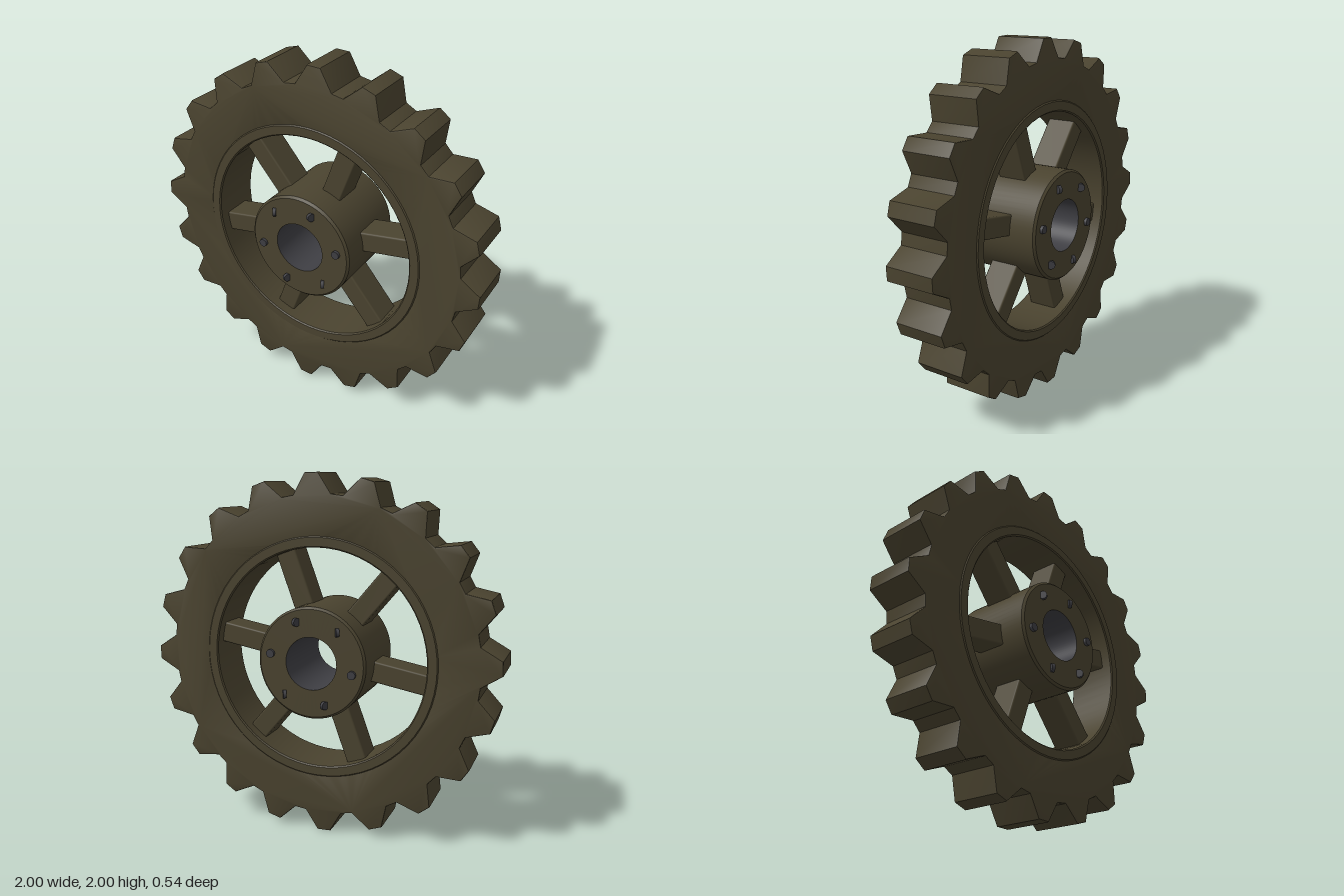
import * as THREE from 'three';
import { toCreasedNormals } from 'three/addons/utils/BufferGeometryUtils.js';
import { RoundedBoxGeometry } from 'three/addons/geometries/RoundedBoxGeometry.js';

const rad = THREE.MathUtils.degToRad;

export function createModel() {
  const olive = new THREE.MeshStandardMaterial({ name: 'olive paint', color: 0x4a432f });
  const steel = new THREE.MeshStandardMaterial({ name: 'dark steel', color: 0x3e3e43 });
  const wheel = new THREE.Group();
  wheel.name = 'sprocketWheel';
  wheel.position.y = 1.002;

  const add = (name, geometry, material, parent = wheel) => {
    const mesh = new THREE.Mesh(geometry, material);
    mesh.name = name;
    parent.add(mesh);
    return mesh;
  };
  // Revolve a profile of [radius, z] points around the z axis
  const revolve = (points) => toCreasedNormals(
    new THREE.LatheGeometry(points.map(([r, z]) => new THREE.Vector2(r, z)), 64).rotateX(Math.PI / 2), 0.5);

  // Toothed rim: 20 trapezoid teeth around a round opening
  const outline = [];
  for (let i = 0; i < 20; i++) {
    for (const [offset, r] of [[-6.9, 0.892], [-2.2, 0.999], [2.2, 0.999], [6.9, 0.892]]) {
      const a = rad(-2 + i * 18 + offset);
      outline.push(new THREE.Vector2(r * Math.cos(a), r * Math.sin(a)));
    }
  }
  const rimShape = new THREE.Shape(outline);
  rimShape.holes.push(new THREE.Path().absarc(0, 0, 0.63, 0, Math.PI * 2, true));
  const bevel = 0.008, depth = 0.286;
  const rimGeometry = new THREE.ExtrudeGeometry(rimShape, {
    depth: depth - 2 * bevel, curveSegments: 64,
    bevelThickness: bevel, bevelSize: bevel, bevelOffset: -bevel, bevelSegments: 2,
  }).translate(0, 0, bevel - depth / 2);
  add('toothedRim', toCreasedNormals(rimGeometry, 0.5), olive);

  // Slightly raised band lining the opening
  add('innerRing', revolve([
    [0.61, -0.142], [0.617, -0.149], [0.664, -0.149], [0.67, -0.143],
    [0.67, 0.143], [0.664, 0.149], [0.617, 0.149], [0.61, 0.142], [0.61, -0.142],
  ]), olive);

  // Hub barrel with chamfered edges, and the steel bore inside it
  add('hub', revolve([
    [0.145, -0.24], [0.295, -0.24], [0.307, -0.228],
    [0.307, 0.228], [0.295, 0.24], [0.145, 0.24],
  ]), olive);
  add('bore', revolve([[0.145, 0.24], [0.145, -0.24]]), steel);

  // Six spokes, and six bolts on each hub face that turn step by step
  for (let i = 0; i < 6; i++) {
    const a = rad(10 + i * 60);
    const spoke = add('spoke', new RoundedBoxGeometry(0.38, 0.115, 0.17, 2, 0.01), olive);
    spoke.position.set(0.45 * Math.cos(a), 0.45 * Math.sin(a), 0);
    spoke.rotation.z = a;
    for (const side of [1, -1]) {
      const bolt = add('bolt', new THREE.CylinderGeometry(0.023, 0.023, 0.018, 12).rotateX(Math.PI / 2), steel);
      bolt.position.set(0.236 * Math.cos(a), 0.236 * Math.sin(a), side * 0.247);
      bolt.rotation.y = rad(i * 60);
    }
  }

  const model = new THREE.Group();
  model.name = 'gearWheel';
  model.add(wheel);
  return model;
}
